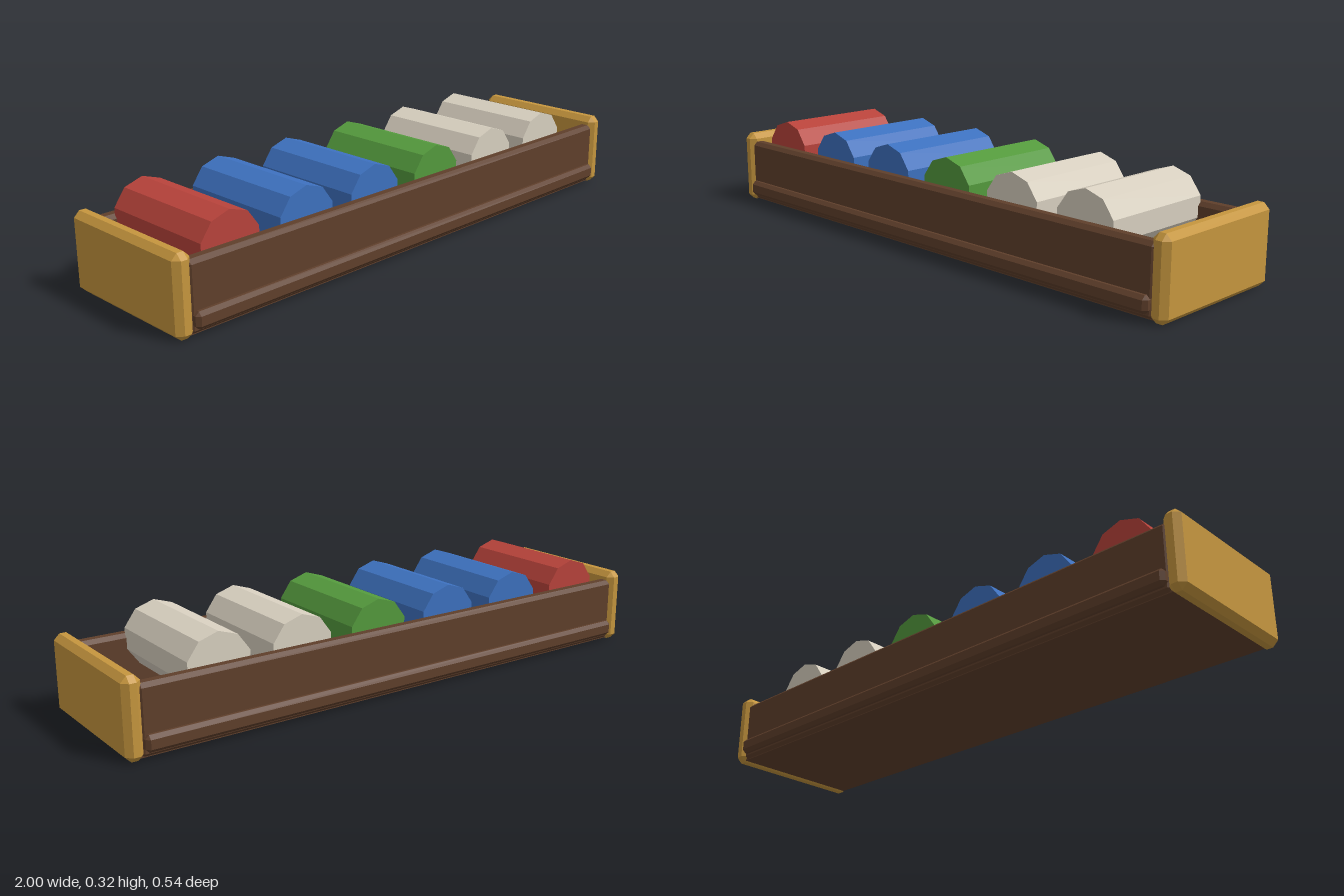
import * as THREE from 'three';
import { ConvexGeometry } from 'three/addons/geometries/ConvexGeometry.js';

const mat = (color) => new THREE.MeshStandardMaterial({ color, flatShading: true });

// Box with all twelve edges chamfered, given by its min and max corners
function chamferBox(min, max, c) {
  const mid = min.map((v, i) => (v + max[i]) / 2);
  const half = min.map((v, i) => (max[i] - v) / 2);
  const points = [];
  for (const sx of [-1, 1]) for (const sy of [-1, 1]) for (const sz of [-1, 1])
    for (let axis = 0; axis < 3; axis++) {
      const p = [sx, sy, sz].map((s, i) => mid[i] + s * (half[i] - (i === axis ? 0 : c)));
      points.push(new THREE.Vector3(...p));
    }
  return new ConvexGeometry(points);
}

export function createModel() {
  const group = new THREE.Group();
  const add = (name, geometry, material) => {
    const mesh = new THREE.Mesh(geometry, material);
    mesh.name = name;
    group.add(mesh);
    return mesh;
  };
  const darkWood = mat(0x5f3f2b);
  const lightWood = mat(0xc6963e);

  // Tray floor
  const floor = add('floor', new THREE.BoxGeometry(1.92, 0.045, 0.48), darkWood);
  floor.position.y = 0.0275;

  // Long walls, each with a trim rail low on the outside
  for (const [side, s] of [['front', 1], ['back', -1]]) {
    const slab = (x, y0, y1, zIn, zOut, c) => chamferBox(
      [-x, y0, Math.min(s * zIn, s * zOut)], [x, y1, Math.max(s * zIn, s * zOut)], c);
    add(side + 'Wall', slab(0.955, 0.005, 0.228, 0.2, 0.25, 0.013), darkWood);
    add(side + 'Rail', slab(0.945, 0.024, 0.078, 0.235, 0.271, 0.012), darkWood);
  }

  // End panels
  for (const [side, s] of [['left', 1], ['right', -1]]) {
    const xs = [s * 0.94, s].sort((a, b) => a - b);
    add(side + 'EndPanel', chamferBox([xs[0], 0, -0.258], [xs[1], 0.258, 0.258], 0.019), lightWood);
  }

  // Row of ten-sided rolls lying front to back, one corner up
  const red = mat(0xb8433b), blue = mat(0x3d71bf), green = mat(0x549a3d), cream = mat(0xd8d0c0);
  const rollGeometry = new THREE.CylinderGeometry(0.11, 0.11, 0.42, 10).rotateX(-Math.PI / 2);
  [red, blue, blue, green, cream, cream].forEach((material, i) => {
    const roll = add('roll' + (i + 1), rollGeometry, material);
    roll.position.set(-0.775 + i * 0.29, 0.213, 0);
  });

  return group;
}
